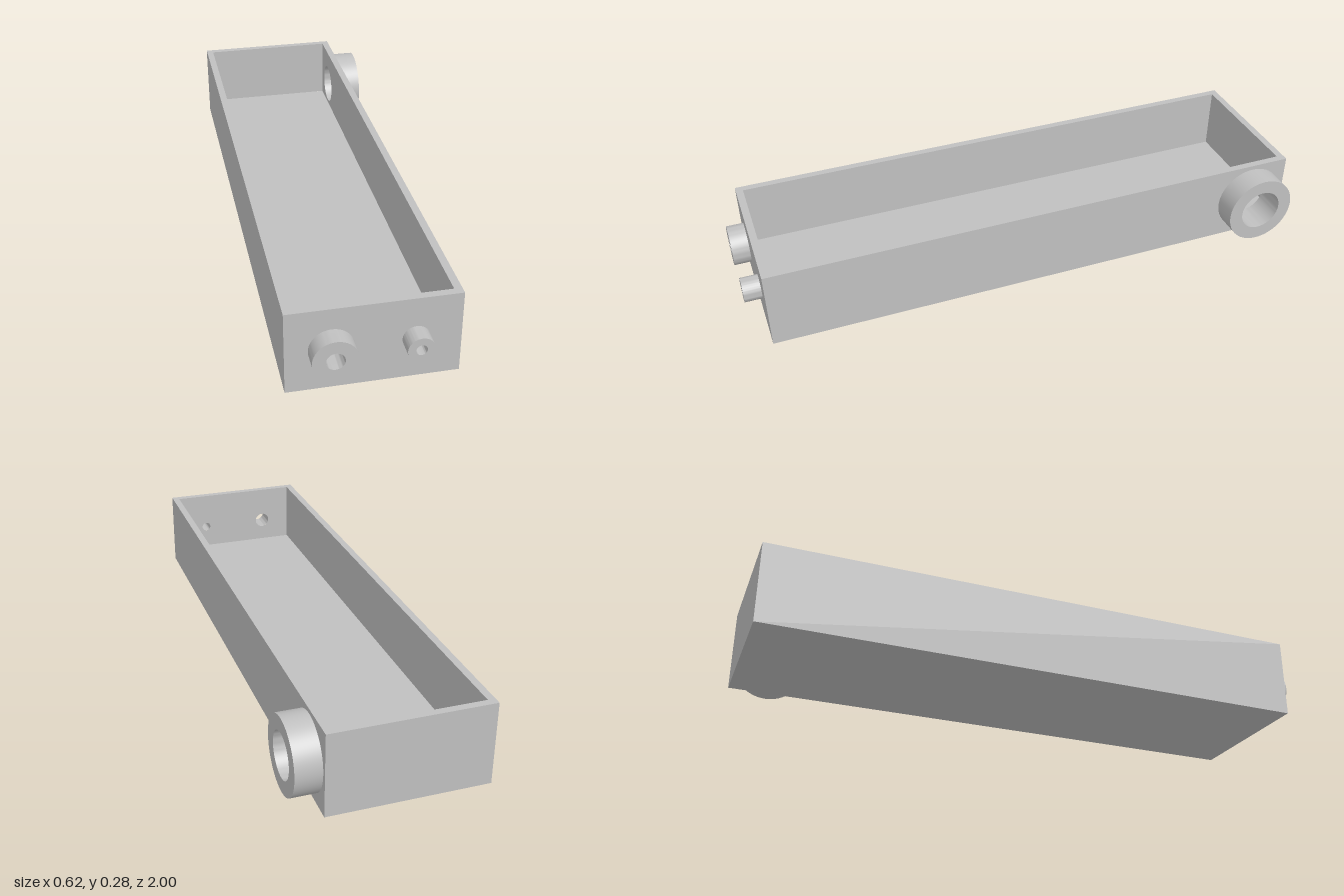
import * as THREE from 'three';
import { toCreasedNormals } from 'three/addons/utils/BufferGeometryUtils.js';

const WIDTH = 0.535, LENGTH = 1.94, HEIGHT = 0.283;
const WALL = 0.025, FLOOR = 0.054, SEGMENTS = 64;

const gray = new THREE.MeshStandardMaterial({ color: 0xc0c0c0 });
gray.name = 'gray';

function addMesh(parent, name, geometry) {
  const mesh = new THREE.Mesh(geometry, gray);
  mesh.name = name;
  parent.add(mesh);
  return mesh;
}

// Flat rectangle facing +z, with optional round holes
function panel(x0, x1, y0, y1, holes = []) {
  const shape = new THREE.Shape([[x0, y0], [x1, y0], [x1, y1], [x0, y1]].map(p => new THREE.Vector2(...p)));
  for (const [x, y, r] of holes) shape.holes.push(new THREE.Path().absarc(x, y, r, 0, Math.PI * 2, true));
  return new THREE.ShapeGeometry(shape, SEGMENTS);
}

// Hollow round spout pointing +z; its bore runs on through the wall
function spout(outer, inner, length) {
  const profile = [[outer, 0], [outer, length], [inner, length], [inner, -WALL]];
  const lathe = new THREE.LatheGeometry(profile.map(p => new THREE.Vector2(...p)), SEGMENTS);
  return toCreasedNormals(lathe.rotateX(Math.PI / 2), 0.6);
}

// Outer and inner skin of one wall, with its spouts, built facing +z
function wall(name, width, distance, turn, spouts = []) {
  const group = new THREE.Group();
  group.name = name;
  const w = width / 2, wi = w - WALL;
  const holes = spouts.map(s => [s.x, s.y, s.inner]);
  addMesh(group, name + 'Outside', panel(-w, w, 0, HEIGHT, holes)).position.z = distance;
  const inside = panel(-wi, wi, FLOOR, HEIGHT, holes.map(([x, y, r]) => [-x, y, r]));
  addMesh(group, name + 'Inside', inside.rotateY(Math.PI)).position.z = distance - WALL;
  for (const s of spouts) {
    addMesh(group, s.name, spout(s.outer, s.inner, s.length)).position.set(s.x, s.y, distance);
  }
  group.rotation.y = turn;
  return group;
}

export function createModel() {
  const model = new THREE.Group();
  model.name = 'tray';
  const body = new THREE.Group();
  body.name = 'trayBody';
  body.position.set(-0.0435, 0, -0.03);
  model.add(body);

  const w = WIDTH / 2, l = LENGTH / 2, y = HEIGHT / 2;

  // Four walls
  body.add(
    wall('frontWall', WIDTH, l, 0, [
      { name: 'largeFrontSpout', x: -0.127, y, outer: 0.07, inner: 0.029, length: 0.06 },
      { name: 'smallFrontSpout', x: 0.1275, y, outer: 0.042, inner: 0.0175, length: 0.06 },
    ]),
    wall('leftWall', LENGTH, w, Math.PI / 2, [
      { name: 'sideSpout', x: 0.83, y, outer: 0.126, inner: 0.076, length: 0.086 },
    ]),
    wall('backWall', WIDTH, l, Math.PI),
    wall('rightWall', LENGTH, w, -Math.PI / 2),
  );

  // Underside, inner floor and top rim
  addMesh(body, 'underside', panel(-w, w, -l, l).rotateX(Math.PI / 2));
  const wi = w - WALL, li = l - WALL;
  addMesh(body, 'innerFloor', panel(-wi, wi, -li, li).rotateX(-Math.PI / 2)).position.y = FLOOR;
  const rim = new THREE.Shape([[-w, -l], [w, -l], [w, l], [-w, l]].map(p => new THREE.Vector2(...p)));
  rim.holes.push(new THREE.Path([[-wi, -li], [-wi, li], [wi, li], [wi, -li]].map(p => new THREE.Vector2(...p))));
  addMesh(body, 'rim', new THREE.ShapeGeometry(rim).rotateX(-Math.PI / 2)).position.y = HEIGHT;

  return model;
}
